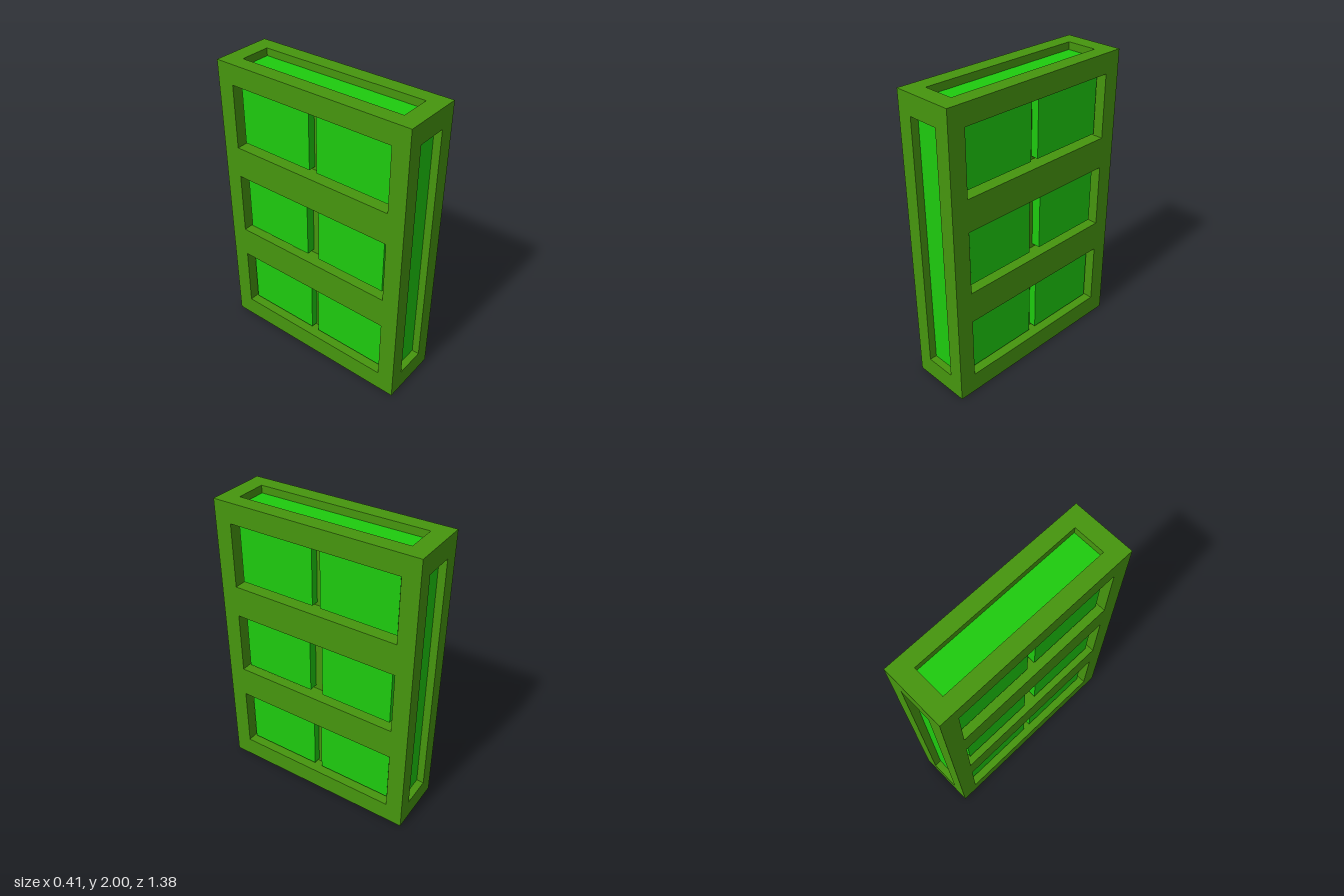
import * as THREE from 'three';

const olive = new THREE.MeshStandardMaterial({ color: 0x46960e });
const green = new THREE.MeshStandardMaterial({ color: 0x1ecb0e });

const H = 2, HX = 0.207, HZ = 0.692; // overall height, half width, half depth
const CORE = 0.105;                  // half thickness between the side plates
const PZ = 0.577, Y0 = 0.14, Y1 = 1.865; // limits of the recesses
const SINK = 0.05;                   // how deep the green panels sit

// Window rows: opening and the pair of raised panels inside it
const rows = [
  { open: [0.14, 0.572], panel: [0.157, 0.552], z: [0.028, 0.551], sink: 0.05 },
  { open: [0.787, 1.218], panel: [0.814, 1.193], z: [0.045, 0.543], sink: 0.04 },
  { open: [1.433, 1.865], panel: [1.456, 1.848], z: [0.028, 0.551], sink: 0.05 },
];

// Box given by its limits along each axis
function box(name, mat, [x0, x1], [y0, y1], [z0, z1]) {
  const mesh = new THREE.Mesh(new THREE.BoxGeometry(x1 - x0, y1 - y0, z1 - z0), mat);
  mesh.position.set((x0 + x1) / 2, (y0 + y1) / 2, (z0 + z1) / 2);
  mesh.name = name;
  return mesh;
}

const span = (s, a, b) => (s > 0 ? [a, b] : [-b, -a]);

function rect(Type, z0, z1, y0, y1) {
  return new Type([[z0, y0], [z1, y0], [z1, y1], [z0, y1]].map(p => new THREE.Vector2(...p)));
}

export function createModel() {
  const model = new THREE.Group();
  model.name = 'panelledBlock';

  // Side plate with three window openings
  const shape = rect(THREE.Shape, -HZ, HZ, 0, H);
  for (const r of rows) shape.holes.push(rect(THREE.Path, -PZ, PZ, ...r.open));
  const plateGeo = new THREE.ExtrudeGeometry(shape, { depth: HX - CORE, bevelEnabled: false });
  plateGeo.rotateY(Math.PI / 2);

  for (const s of [1, -1]) {
    const side = s > 0 ? 'left' : 'right';
    const plate = new THREE.Mesh(plateGeo, olive);
    plate.name = side + 'FramePlate';
    plate.position.x = s > 0 ? CORE : -HX;
    model.add(plate);

    // Raised panels, two in each window
    for (const r of rows) for (const t of [1, -1]) {
      model.add(box(side + 'WindowPanel', green,
        span(s, CORE - 0.01, HX - r.sink), r.panel, span(t, ...r.z)));
    }
  }

  // Core that closes the back of the windows
  model.add(box('core', olive, [-CORE, CORE], [0.1, 1.9], [-0.6, 0.6]));

  for (const t of [1, -1]) {
    // Corner blocks joining the side plates
    model.add(box('lowerCorner', olive, [-CORE, CORE], [0, Y0], span(t, PZ, HZ)));
    model.add(box('upperCorner', olive, [-CORE, CORE], [Y1, H], span(t, PZ, HZ)));
    // Sunken panels on the front and back
    model.add(box(t > 0 ? 'frontPanel' : 'backPanel', green,
      [-CORE, CORE], [Y0, Y1], span(t, 0.59, HZ - SINK)));
  }

  // Sunken panels on the top and bottom
  model.add(box('topPanel', green, [-CORE, CORE], [1.88, H - SINK], [-PZ, PZ]));
  model.add(box('bottomPanel', green, [-CORE, CORE], [SINK, 0.12], [-PZ, PZ]));

  return model;
}
